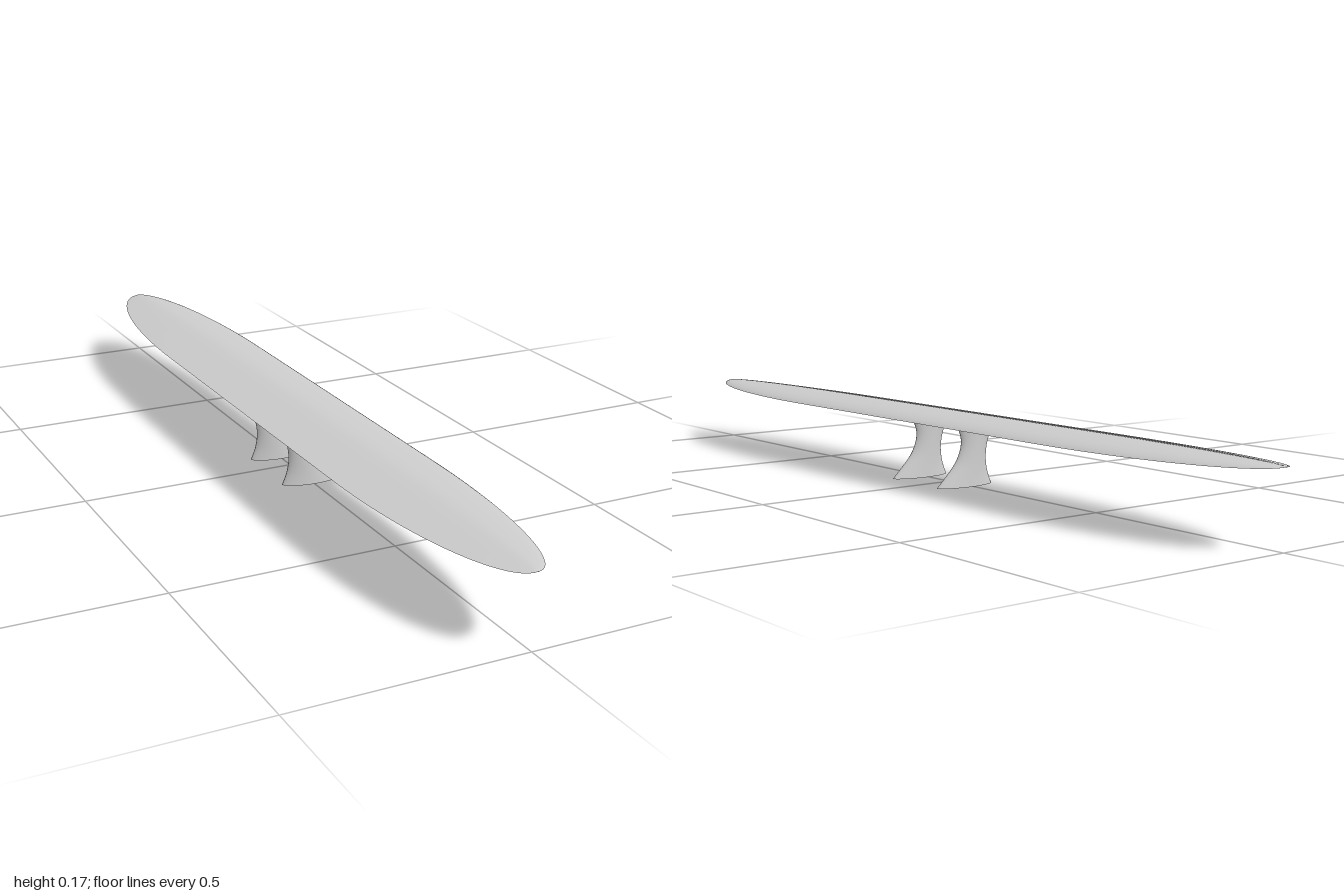
import * as THREE from 'three';

const material = new THREE.MeshStandardMaterial({ color: 0xcccccc, side: THREE.DoubleSide });

// Skin a list of equally long rings of points; doubled points or rings make a crease
function loft(rings, name) {
  const n = rings[0].length, index = [];
  for (let i = 0; i < rings.length - 1; i++) {
    for (let j = 0; j < n - 1; j++) {
      const a = i * n + j, b = a + 1, c = a + n, d = c + 1;
      index.push(a, b, d, a, d, c);
    }
  }
  const geometry = new THREE.BufferGeometry();
  geometry.setAttribute('position', new THREE.Float32BufferAttribute(rings.flat(2), 3));
  geometry.setIndex(index);
  geometry.computeVertexNormals();
  const mesh = new THREE.Mesh(geometry, material);
  mesh.name = name;
  return mesh;
}

const curve = (points) => new THREE.SplineCurve(points.map(([x, y]) => new THREE.Vector2(x, y)));

// Long wing: flat underside, cambered top, rounded tips
function makeWing() {
  const midY = 0.158;
  const bottom = [[-0.12, 0.148], [-0.1, 0.147], [0, 0.1465], [0.1, 0.147], [0.12, 0.148]];
  const top = curve([[0.12, 0.148], [0.108, 0.155], [0.085, 0.162], [0.05, 0.167], [0.015, 0.169],
    [-0.02, 0.1655], [-0.07, 0.157], [-0.12, 0.148]]).getPoints(28).map((p) => [p.x, p.y]);
  const profile = [...bottom, ...top];
  const straight = 0.45, rings = [];
  const addRing = (z, k) => rings.push(profile.map(([x, y]) => [x * k, midY + (y - midY) * k, z]));
  const steps = 28;
  for (let i = 0; i <= steps; i++) {
    const t = (i / steps) * Math.PI / 2;
    addRing(-straight - (1 - straight) * Math.cos(t), Math.sin(t));
  }
  for (let i = 0; i <= steps; i++) {
    const t = (i / steps) * Math.PI / 2;
    addRing(straight + (1 - straight) * Math.sin(t), Math.cos(t));
  }
  return loft(rings, 'wing');
}

// Waisted strut with a slim, lens-shaped section and a flared foot
function makeStrut(z, name) {
  const rear = curve([[-0.069, 0], [-0.058, 0.028], [-0.053, 0.06], [-0.057, 0.092], [-0.069, 0.122], [-0.088, 0.15]]);
  const front = curve([[0.085, 0], [0.04, 0.045], [0.023, 0.073], [0.017, 0.1], [0.023, 0.125], [0.04, 0.15]]);
  // Find x on an edge curve at a given height
  const xAt = (edge, y) => {
    let lo = 0, hi = 1;
    for (let i = 0; i < 24; i++) {
      const mid = (lo + hi) / 2;
      if (edge.getPoint(mid).y < y) lo = mid; else hi = mid;
    }
    return edge.getPoint(lo).x;
  };
  const section = (y, k = 1) => {
    const a = xAt(rear, y), b = xAt(front, y), u = 1 - y / 0.15;
    const half = 0.011 + 0.005 * u + 0.01 * u * u;
    const ring = [];
    for (let j = 0; j <= 32; j++) {
      const t = (j / 32) * Math.PI * 2, s = Math.sin(t);
      ring.push([
        (a + b) / 2 - k * Math.cos(t) * (b - a) / 2,
        y,
        z + k * half * Math.sign(s) * Math.abs(s) ** 1.2,
      ]);
    }
    return ring;
  };
  const rings = [section(0, 0), section(0)];
  for (let i = 0; i <= 20; i++) rings.push(section(0.15 * i / 20));
  return loft(rings, name);
}

export function createModel() {
  const model = new THREE.Group();
  model.name = 'wingOnStruts';
  model.add(makeWing(), makeStrut(0.103, 'frontStrut'), makeStrut(-0.068, 'backStrut'));
  return model;
}
